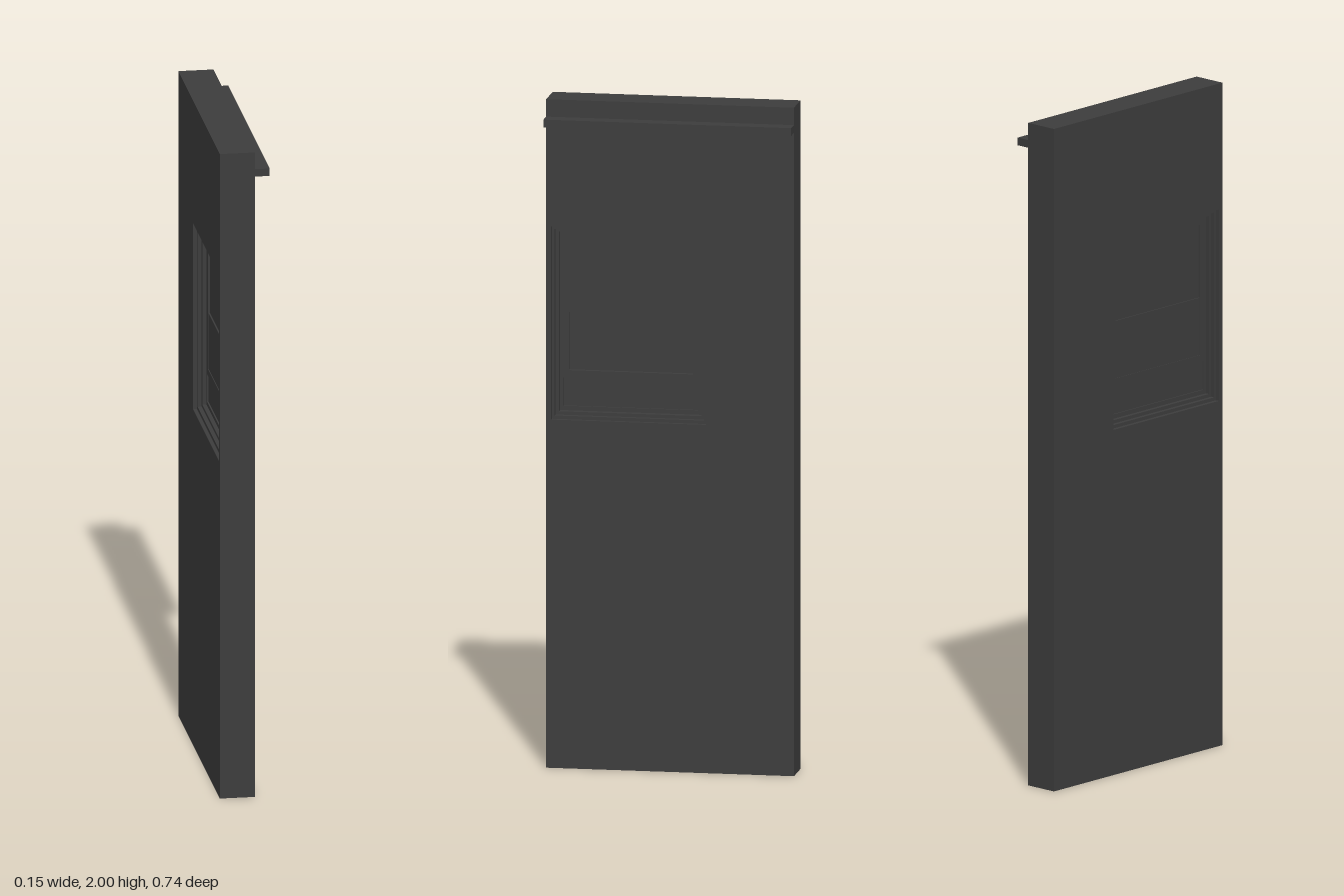
import * as THREE from 'three';

const material = new THREE.MeshStandardMaterial({ color: 0x3c3c3c });

// Slight skew of the plan, so the end faces are not quite square.
const skew = (geo) => {
  const p = geo.attributes.position;
  for (let i = 0; i < p.count; i++) p.setZ(i, p.getZ(i) + 0.025 * p.getX(i) - 0.001);
  geo.computeVertexNormals();
  return geo;
};

// Rectangles are [zMin, zMax, yMin, yMax]; depth runs along x.
const corners = ([z0, z1, y0, y1]) =>
  [[-z1, y0], [-z0, y0], [-z0, y1], [-z1, y1]].map(([u, v]) => new THREE.Vector2(u, v));

function slab(name, rect, x0, x1, holes = []) {
  const shape = new THREE.Shape(corners(rect));
  for (const h of holes) shape.holes.push(new THREE.Path(corners(h).reverse()));
  const geo = new THREE.ExtrudeGeometry(shape, { depth: x1 - x0, bevelEnabled: false });
  geo.rotateY(Math.PI / 2).translate(x0, 0, 0);
  const mesh = new THREE.Mesh(skew(geo), material);
  mesh.name = name;
  return mesh;
}

export function createModel() {
  const model = new THREE.Group();
  model.name = 'wallPanelWithWindow';

  // Wall with the window opening, and the ledge near its top
  const opening = [-0.107, 0.352, 1.042, 1.62];
  model.add(slab('wall', [-0.367, 0.367, 0, 2], -0.074, 0.03, [opening]));
  model.add(slab('ledge', [-0.367, 0.367, 1.925, 1.948], 0.03, 0.073));

  // Window frame stepping inwards from both faces
  const window = new THREE.Group();
  window.name = 'window';
  const step1 = [-0.098, 0.344, 1.052, 1.61];
  const step2 = [-0.088, 0.334, 1.062, 1.6];
  window.add(slab('outerFrame', opening, -0.062, 0.018, [step1]));
  window.add(slab('innerFrame', step1, -0.05, 0.004, [step2]));

  // Sash with its glass panes; the upper one stands further out
  const upperPane = [-0.06, 0.308, 1.355, 1.575];
  const lowerPane = [-0.06, 0.308, 1.182, 1.355];
  const sill = [-0.075, 0.324, 1.075, 1.16];
  window.add(slab('sash', step2, -0.038, -0.014, [[-0.06, 0.308, 1.182, 1.575], sill]));
  window.add(slab('upperPane', upperPane, -0.032, -0.019));
  window.add(slab('lowerPane', lowerPane, -0.036, -0.027));
  window.add(slab('bottomPanel', sill, -0.034, -0.02));
  model.add(window);
  return model;
}
